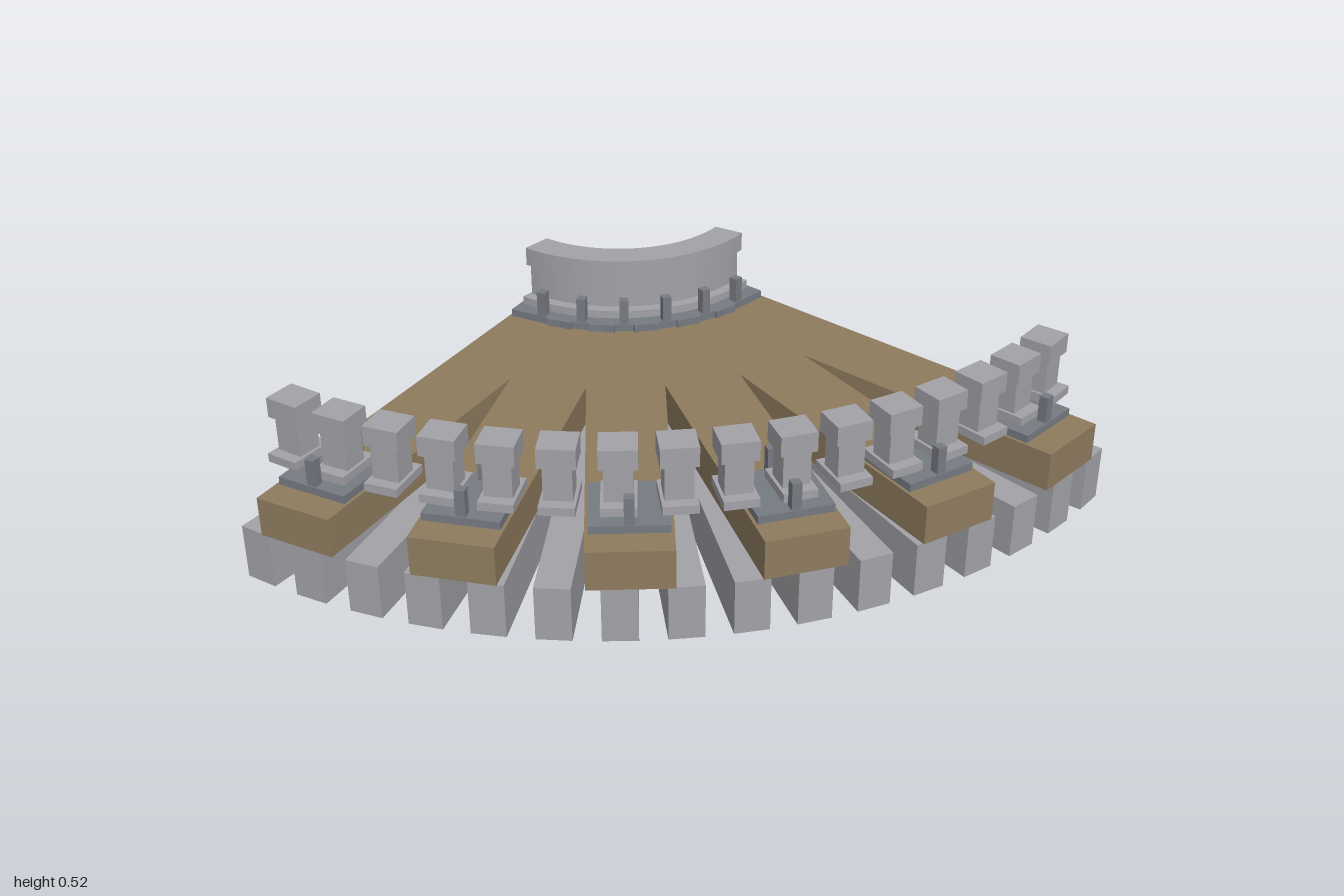
import * as THREE from 'three';

const C = 0.907;            // all parts radiate from the point (C, -C)
const R0 = 0.223, R1 = 1.906;
const RAD = Math.PI / 180;

// Point at a distance along the ray at angle a, offset sideways by s; shape y is -z
const at = (a, along, s = 0) => new THREE.Vector2(
  C - along * Math.cos(a) + s * Math.sin(a),
  C - along * Math.sin(a) - s * Math.cos(a));

function slab(points, y0, y1, material, name) {
  if (THREE.ShapeUtils.area(points) < 0) points.reverse();
  const geo = new THREE.ExtrudeGeometry(new THREE.Shape(points), { depth: y1 - y0, bevelEnabled: false });
  geo.rotateX(-Math.PI / 2).translate(0, y0, 0);
  const mesh = new THREE.Mesh(geo, material);
  mesh.name = name;
  return mesh;
}

// Quarter fan of n equal bars that merge toward the centre
function fan(n, half, y0, y1, material, name) {
  const pitch = Math.PI / 2 / n;
  const apex = half / Math.sin(pitch / 2);
  const pts = [at(pitch / 2, R0, -half)];
  for (let i = 0; i < n; i++) {
    const a = (i + 0.5) * pitch;
    pts.push(at(a, R1, -half), at(a, R1, half));
    if (i < n - 1) pts.push(at(a + pitch / 2, apex));
  }
  pts.push(at(Math.PI / 2 - pitch / 2, R0, half));
  for (let i = 0; i <= 24; i++) {
    pts.push(at(Math.PI / 2 - pitch / 2 - (i / 24) * (Math.PI / 2 - pitch), R0));
  }
  return slab(pts, y0, y1, material, name);
}

// Curved band between two radii
function band(r0, r1, over, y0, y1, material, name) {
  const pts = [], n = 32, a0 = -over, span = Math.PI / 2 + 2 * over;
  for (let i = 0; i <= n; i++) pts.push(at(a0 + span * i / n, r1));
  for (let i = n; i >= 0; i--) pts.push(at(a0 + span * i / n, r0));
  return slab(pts, y0, y1, material, name);
}

// Box aligned with the ray at angle a
function radialBox(a, r, len, width, y0, y1, material, name) {
  const mesh = new THREE.Mesh(new THREE.BoxGeometry(len, y1 - y0, width), material);
  const p = at(a, r);
  mesh.position.set(p.x, (y0 + y1) / 2, -p.y);
  mesh.rotation.y = a + Math.PI;
  mesh.name = name;
  return mesh;
}

export function createModel() {
  const stone = new THREE.MeshStandardMaterial({ color: 0xa3a2a8 });
  stone.name = 'light stone';
  const earth = new THREE.MeshStandardMaterial({ color: 0x8f7c5f });
  earth.name = 'brown deck';
  const slate = new THREE.MeshStandardMaterial({ color: 0x767a82 });
  slate.name = 'dark slate';

  const model = new THREE.Group();
  model.name = 'curvedBridgeSection';

  // Stone support bars below, wider deck boards above
  model.add(fan(16, 0.0525, 0, 0.175, stone, 'supportFan'));
  model.add(fan(6, 0.126, 0.175, 0.3, earth, 'deckFan'));

  // Dark footing plates, each with two small posts, on both rims
  for (const [rim, r] of [['outer', 1.697], ['inner', 0.447]]) {
    for (let i = 0; i < 6; i++) {
      const a = (7.5 + 15 * i) * RAD;
      model.add(radialBox(a, r, 0.237, 0.232, 0.3, 0.325, slate, rim + 'FootingPlate'));
      for (const s of [-0.1, 0.1]) {
        model.add(radialBox(a, r + s, 0.03, 0.03, 0.325, 0.41, slate, rim + 'Post'));
      }
    }
  }

  // Separate parapet blocks on the outer rim: foot, column and cap
  for (let i = 0; i < 16; i++) {
    const a = (i + 0.5) * 5.625 * RAD;
    const block = new THREE.Group();
    block.name = 'parapetBlock';
    block.add(
      radialBox(a, 1.693, 0.152, 0.105, 0.325, 0.352, stone, 'blockFoot'),
      radialBox(a, 1.693, 0.08, 0.085, 0.352, 0.462, stone, 'blockColumn'),
      radialBox(a, 1.693, 0.105, 0.112, 0.462, 0.525, stone, 'blockCap'));
    model.add(block);
  }

  // Continuous curved parapet on the inner rim
  const over = 4.2 * RAD;
  model.add(
    band(0.366, 0.518, over, 0.325, 0.352, stone, 'innerWallFoot'),
    band(0.402, 0.482, over * 0.8, 0.352, 0.462, stone, 'innerWall'),
    band(0.39, 0.495, over, 0.462, 0.525, stone, 'innerWallCap'));

  return model;
}
